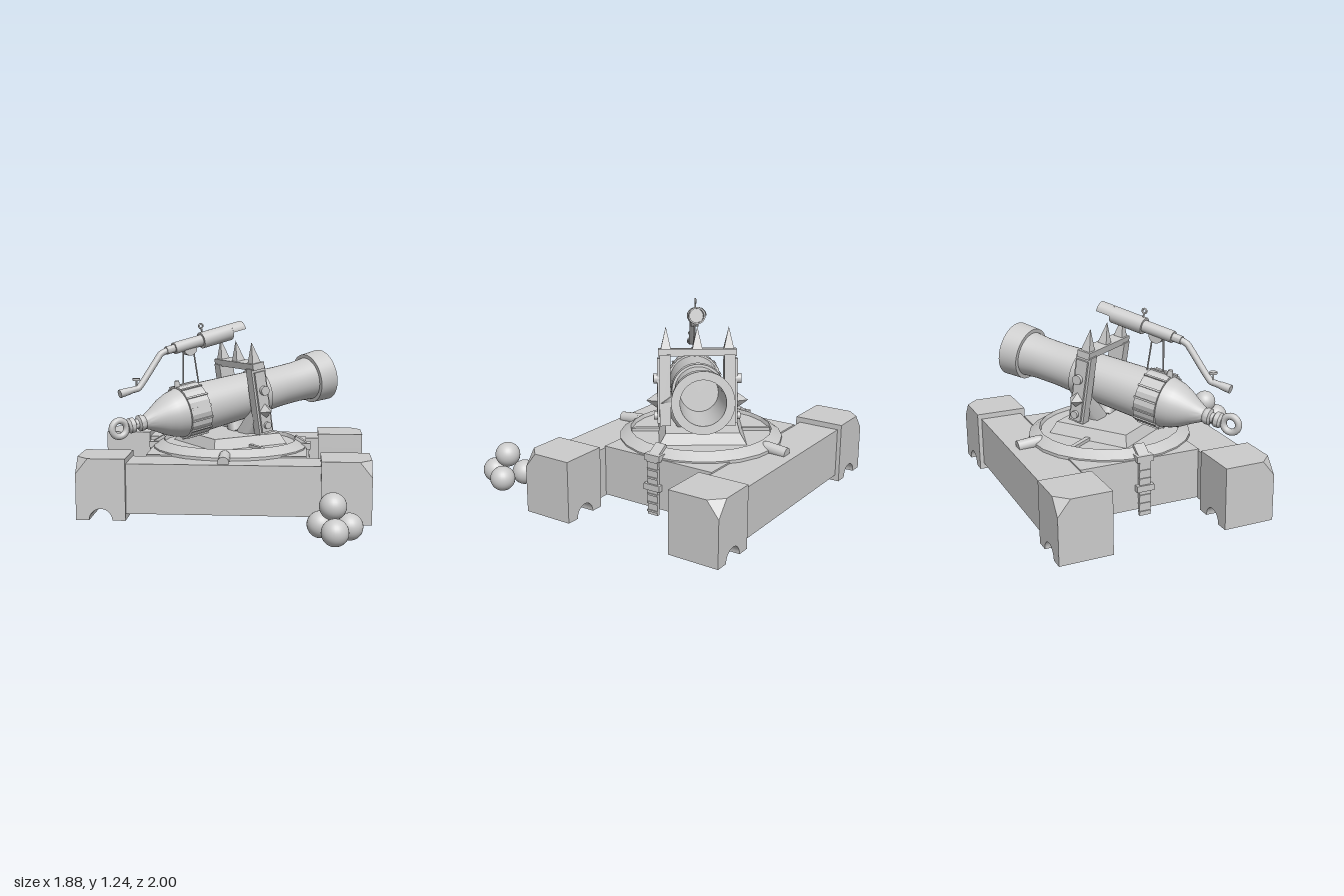
import * as THREE from 'three';
import { toCreasedNormals } from 'three/addons/utils/BufferGeometryUtils.js';
import { ConvexGeometry } from 'three/addons/geometries/ConvexGeometry.js';

const mat = new THREE.MeshStandardMaterial({ color: 0xcccccc });
const flat = new THREE.MeshStandardMaterial({ color: 0xcccccc, flatShading: true });
const thin = new THREE.MeshStandardMaterial({ color: 0xcccccc, side: THREE.DoubleSide });
const V = (x, y, z = 0) => new THREE.Vector3(x, y, z);

function add(parent, name, geo, x = 0, y = 0, z = 0, material = mat) {
  const m = new THREE.Mesh(geo, material);
  m.name = name;
  m.position.set(x, y, z);
  parent.add(m);
  return m;
}
function group(parent, name, x = 0, y = 0, z = 0) {
  const g = new THREE.Group();
  g.name = name;
  g.position.set(x, y, z);
  parent.add(g);
  return g;
}
// box given by its min and max corners
const box = (parent, name, a, b) => add(parent, name, new THREE.BoxGeometry(b[0] - a[0], b[1] - a[1], b[2] - a[2]),
  (a[0] + b[0]) / 2, (a[1] + b[1]) / 2, (a[2] + b[2]) / 2);

// lathe from [position, radius] pairs, smooth with kept edges
function lathe(pts, sides = 32, crease = 0.5) {
  return toCreasedNormals(new THREE.LatheGeometry(pts.map(([h, r]) => new THREE.Vector2(r, h)), sides), crease);
}
const latheX = (pts, sides, crease) => lathe(pts, sides, crease).rotateZ(-Math.PI / 2);

// straight rod between two points
function rod(parent, name, a, b, r0, r1 = r0, sides = 16) {
  const d = b.clone().sub(a);
  const m = add(parent, name, new THREE.CylinderGeometry(r1, r0, d.length(), sides));
  m.position.copy(a).add(b).multiplyScalar(0.5);
  m.quaternion.setFromUnitVectors(V(0, 1, 0), d.normalize());
  return m;
}
// square pyramid pointing up
const pyramid = (half, h) => new THREE.ConeGeometry(half * Math.SQRT2, h, 4).rotateY(Math.PI / 4);

function buildBase(root) {
  const base = group(root, 'base', 0, 0, -0.295);
  // corner block: arched lower part, upper part with one cut corner
  const s = new THREE.Shape();
  s.moveTo(0.62, 0); s.lineTo(0.705, 0);
  s.absarc(0.78, 0, 0.075, Math.PI, 0, true);
  s.lineTo(0.94, 0); s.lineTo(0.94, 0.3); s.lineTo(0.62, 0.3); s.closePath();
  const lower = new THREE.ExtrudeGeometry(s, { depth: 0.335, bevelEnabled: false, curveSegments: 14 });
  for (const sx of [1, -1]) for (const sz of [1, -1]) {
    const name = (sz > 0 ? 'front' : 'back') + (sx > 0 ? 'Left' : 'Right') + 'Foot';
    const foot = group(base, name);
    add(foot, 'archedFoot', lower, sx > 0 ? 0 : -1.56, 0, sz > 0 ? 0.367 : -0.702);
    const p = [];
    for (const y of [0.3, 0.4]) p.push(V(0.62, y, 0.367), V(0.94, y, 0.367), V(0.62, y, 0.702));
    p.push(V(0.94, 0.3, 0.702), V(0.86, 0.4, 0.702), V(0.94, 0.4, 0.622));
    p.forEach(v => { v.x *= sx; v.z *= sz; });
    add(foot, 'cutCap', new ConvexGeometry(p));
  }
  for (const sz of [1, -1]) box(base, sz > 0 ? 'frontBeam' : 'backBeam', [-0.62, 0.04, sz * 0.535 - 0.14], [0.62, 0.365, sz * 0.535 + 0.14]);
  box(base, 'platform', [-0.53, 0.045, -0.4], [0.53, 0.375, 0.4]);
}

function buildTurntable(root) {
  const table = group(root, 'turntable', 0, 0, -0.28);
  add(table, 'bevelledRing', lathe([[0.36, 0.53], [0.385, 0.53], [0.43, 0.46], [0.4, 0.45]], 24, 0.2));
  add(table, 'disc', new THREE.CylinderGeometry(0.46, 0.46, 0.04, 24), 0, 0.385, 0);
  // rounded lugs at front and back
  for (const sz of [1, -1]) {
    const lug = group(table, sz > 0 ? 'frontLug' : 'backLug');
    rod(lug, 'lugBar', V(0, 0.39, sz * 0.49), V(0, 0.375, sz * 0.635), 0.038);
    add(lug, 'lugEnd', new THREE.SphereGeometry(0.038, 16, 10), 0, 0.39, sz * 0.49);
  }
  // ladder-like straps down the sides
  for (const sx of [1, -1]) {
    const strap = group(table, sx > 0 ? 'leftStrap' : 'rightStrap');
    box(strap, 'strapBand', [sx * 0.54 - 0.01, 0.005, -0.037], [sx * 0.54 + 0.01, 0.4, 0.037]);
    box(strap, 'strapBuckle', [sx * 0.545 - 0.018, 0.17, -0.058], [sx * 0.545 + 0.018, 0.21, 0.058]);
    for (let i = 0; i < 7; i++) add(strap, 'rung', new THREE.BoxGeometry(0.03, 0.012, 0.076), sx * 0.542, 0.03 + i * 0.055, 0);
    const hook = add(strap, 'strapHook', new THREE.BoxGeometry(0.11, 0.02, 0.074), sx * 0.5, 0.415, 0);
    hook.rotation.z = -sx * 0.55;
    add(strap, 'hookClamp', new THREE.BoxGeometry(0.07, 0.04, 0.11), sx * 0.525, 0.385, 0);
  }
}

function buildBarrel(pitch) {
  add(pitch, 'barrel', latheX([
    [-0.79, 0], [-0.79, 0.035], [-0.775, 0.05], [-0.745, 0.05], [-0.735, 0.033], [-0.715, 0.033],
    [-0.705, 0.053], [-0.68, 0.053], [-0.665, 0.045], [-0.64, 0.058], [-0.59, 0.085], [-0.53, 0.122], [-0.47, 0.148], [-0.4, 0.165],
    [-0.25, 0.167], [0.19, 0.155], [0.19, 0.168], [0.25, 0.164], [0.25, 0.148], [0.4, 0.14], [0.56, 0.141], [0.665, 0.15],
    [0.665, 0.176], [0.8, 0.183], [0.8, 0.133], [0.35, 0.118], [0.35, 0]], 36));
  add(pitch, 'breechRing', new THREE.TorusGeometry(0.052, 0.022, 12, 24), -0.848, 0, 0);
  add(pitch, 'breechBand', latheX([[-0.4, 0.16], [-0.4, 0.182], [-0.25, 0.182], [-0.25, 0.16]], 14, 0.1));
  // raised bars round the band
  for (let i = 0; i < 14; i++) {
    const a = i / 14 * Math.PI * 2;
    const bar = add(pitch, 'bandBar', new THREE.BoxGeometry(0.158, 0.012, 0.012), -0.325, 0.18 * Math.cos(a), 0.18 * Math.sin(a));
    bar.rotation.x = a;
  }
  rod(pitch, 'touchHole', V(-0.385, 0.17), V(-0.385, 0.215), 0.022, 0.015, 10);
}

function buildYoke(pitch) {
  const yoke = group(pitch, 'yoke', 0.112, 0, 0);
  box(yoke, 'crossbar', [-0.045, 0.205, -0.25], [0.045, 0.25, 0.25]);
  for (const z of [-0.2, 0, 0.2]) add(yoke, 'topSpike', pyramid(0.032, 0.14), 0, 0.32, z, flat);
  for (const s of [1, -1]) {
    const side = group(yoke, s > 0 ? 'rightUpright' : 'leftUpright', 0, 0, s * 0.205);
    box(side, 'post', [-0.055, -0.24, -0.035], [0.055, 0.215, 0.035]);
    box(side, 'facePlate', [-0.04, -0.225, s * 0.04 - 0.01], [0.04, 0.19, s * 0.04 + 0.01]);
    const spike = add(side, 'sideSpike', pyramid(0.035, 0.07), 0.005, -0.08, s * 0.085, flat);
    spike.rotation.set(s * Math.PI / 2, Math.PI / 4, 0);
    rod(side, 'trunnion', V(0.01, 0.06, 0), V(0.01, 0.06, s * 0.075), 0.032);
    rod(side, 'footBolt', V(0, -0.18, 0), V(0, -0.18, s * 0.07), 0.025);
  }
}

function buildScope(yaw) {
  const scope = group(yaw, 'sightingTube');
  const a = V(-0.7, 0.822), b = V(-0.53, 1.04), c = V(-0.48, 1.062);
  rod(scope, 'eyepiece', V(-0.83, 0.795), V(-0.76, 0.81), 0.028, 0.024);
  const path = new THREE.CatmullRomCurve3([V(-0.77, 0.808), V(-0.72, 0.818), a, V(-0.685, 0.835), V(-0.55, 1.015), b, c, V(-0.45, 1.068)], false, 'centripetal');
  add(scope, 'bentPipe', new THREE.TubeGeometry(path, 40, 0.021, 12));
  // small tap on the pipe
  rod(scope, 'tapStem', V(-0.71, 0.82), V(-0.71, 0.88), 0.006, 0.006, 8);
  rod(scope, 'tapWheel', V(-0.71, 0.875), V(-0.71, 0.89), 0.025, 0.025, 12);
  // stepped upper tube with a half-open hood
  const tube = group(scope, 'upperTube', -0.49, 1.06, 0);
  tube.rotation.z = 0.215;
  add(tube, 'steppedTube', latheX([[0, 0], [0, 0.027], [0.06, 0.027], [0.06, 0.039], [0.27, 0.039], [0.27, 0.055], [0.5, 0.055], [0.5, 0.045], [0.4, 0.045], [0.4, 0]], 20));
  add(tube, 'hood', new THREE.CylinderGeometry(0.055, 0.055, 0.1, 16, 1, true, Math.PI, Math.PI).rotateZ(-Math.PI / 2), 0.55, 0, 0, thin);
  rod(tube, 'sightStem', V(0.29, 0.04), V(0.29, 0.085), 0.006, 0.006, 8);
  add(tube, 'sightRing', new THREE.TorusGeometry(0.015, 0.006, 8, 14), 0.29, 0.095, 0);
  const cradle = new THREE.CylinderGeometry(0.05, 0.05, 0.05, 16).rotateX(Math.PI / 2);
  add(tube, 'cradle', cradle, 0.17, -0.025, 0);
  // thin stays down to the breech band
  rod(scope, 'rearStay', V(-0.363, 0.8), V(-0.363, 1.05), 0.005, 0.005, 6);
  rod(scope, 'frontStay', V(-0.24, 0.8), V(-0.285, 1.06), 0.005, 0.005, 6);
}

export function createModel() {
  const root = new THREE.Group();
  root.name = 'swivelCannon';
  buildBase(root);
  buildTurntable(root);

  const yaw = group(root, 'carriage', 0, 0, -0.242);
  yaw.rotation.y = 0.621;
  // pedestal with sloped sides
  const ped = new THREE.BoxGeometry(0.59, 0.085, 0.57);
  const p = ped.attributes.position;
  for (let i = 0; i < p.count; i++) if (p.getY(i) > 0) p.setXYZ(i, p.getX(i) * 0.88, p.getY(i), p.getZ(i) * 0.82);
  ped.computeVertexNormals();
  add(yaw, 'pedestal', ped, 0.02, 0.432, -0.03, flat);
  for (const s of [1, -1]) {
    add(yaw, 'discRib', new THREE.BoxGeometry(0.03, 0.03, 0.18), 0.02, 0.41, -0.03 + s * 0.36);
    // struts from pedestal to yoke
    const strut = rod(yaw, 'strut', V(0.1, 0.45, s * 0.05), V(0.14, 0.67, s * 0.2), 0.07, 0.06, 4);
    strut.rotateY(Math.PI / 4);
  }

  const pitch = group(yaw, 'gun', 0, 0.706, 0);
  pitch.rotation.z = 0.162;
  buildBarrel(pitch);
  buildYoke(pitch);
  buildScope(yaw);

  // stacked shot
  const shot = group(root, 'shotPile');
  for (const [x, y, z] of [[0.61, 0.085, 0.73], [0.78, 0.085, 0.77], [0.69, 0.085, 0.918], [0.68, 0.215, 0.81]])
    add(shot, 'ball', new THREE.SphereGeometry(0.082, 28, 18), x, y, z);
  return root;
}
